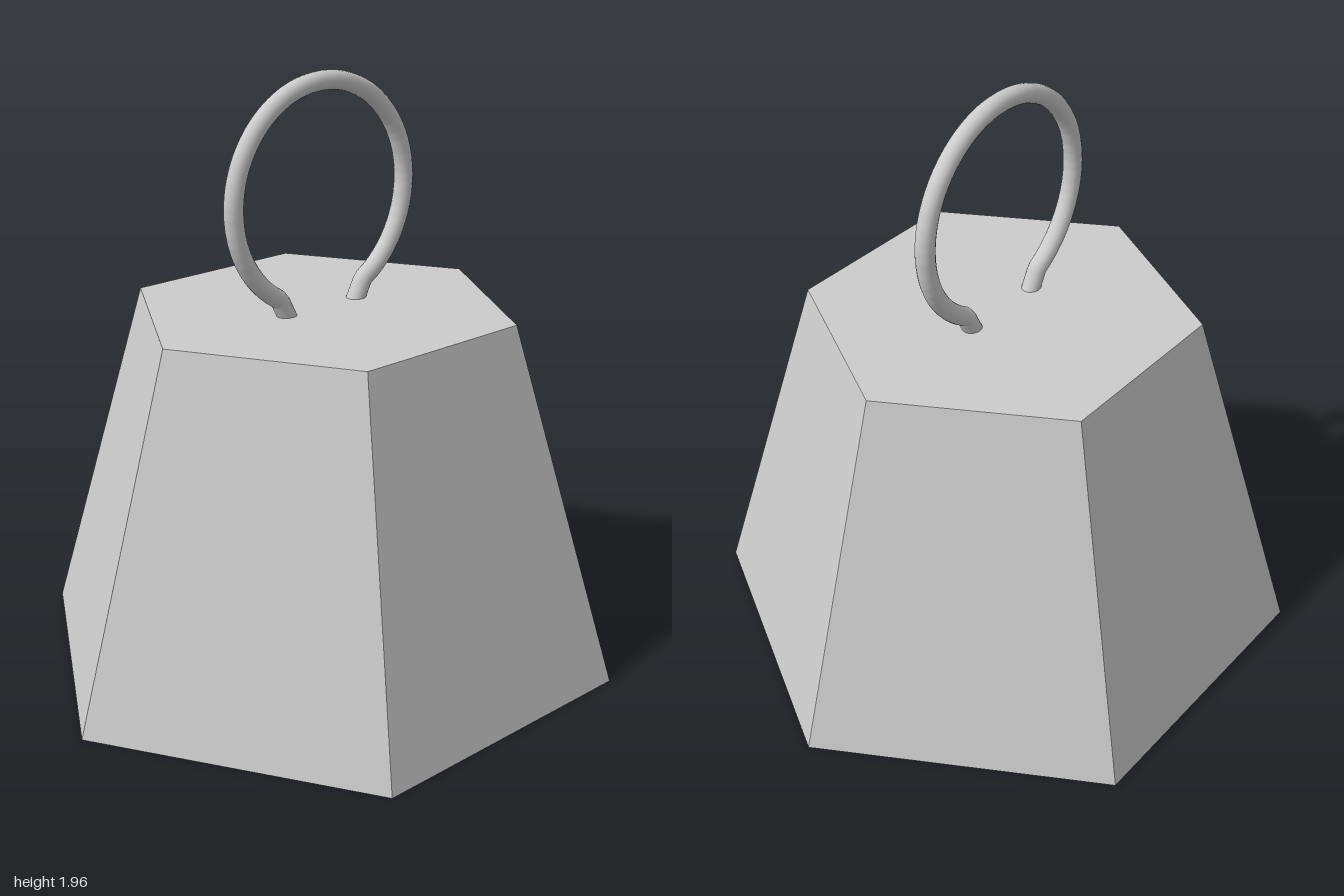
import * as THREE from 'three';

export function createModel() {
  const model = new THREE.Group();
  model.name = 'hexagonalWeight';

  // Tapered six-sided body, one corner facing the front
  const height = 1.2;
  const body = new THREE.Mesh(
    new THREE.CylinderGeometry(0.64, 1, height, 6),
    new THREE.MeshStandardMaterial({ color: 0xcccccc, flatShading: true })
  );
  body.name = 'body';
  body.position.y = height / 2;
  model.add(body);

  // Open ring handle in the yz plane, its ends bent down into the body
  const radius = 0.36, centreY = 1.57, gap = Math.PI / 6, steps = 48;
  const path = new THREE.CurvePath();
  const points = [new THREE.Vector3(0, 1.17, 0.135)];
  for (let i = 0; i <= steps; i++) {
    const a = gap + (i / steps) * (2 * Math.PI - 2 * gap);
    points.push(new THREE.Vector3(0, centreY - radius * Math.cos(a), radius * Math.sin(a)));
  }
  points.push(new THREE.Vector3(0, 1.17, -0.135));
  for (let i = 1; i < points.length; i++) {
    path.add(new THREE.LineCurve3(points[i - 1], points[i]));
  }
  const ring = new THREE.Mesh(
    new THREE.TubeGeometry(path, 120, 0.031, 16),
    new THREE.MeshStandardMaterial({ color: 0xcccccc, side: THREE.DoubleSide })
  );
  ring.name = 'ringHandle';
  model.add(ring);

  return model;
}
